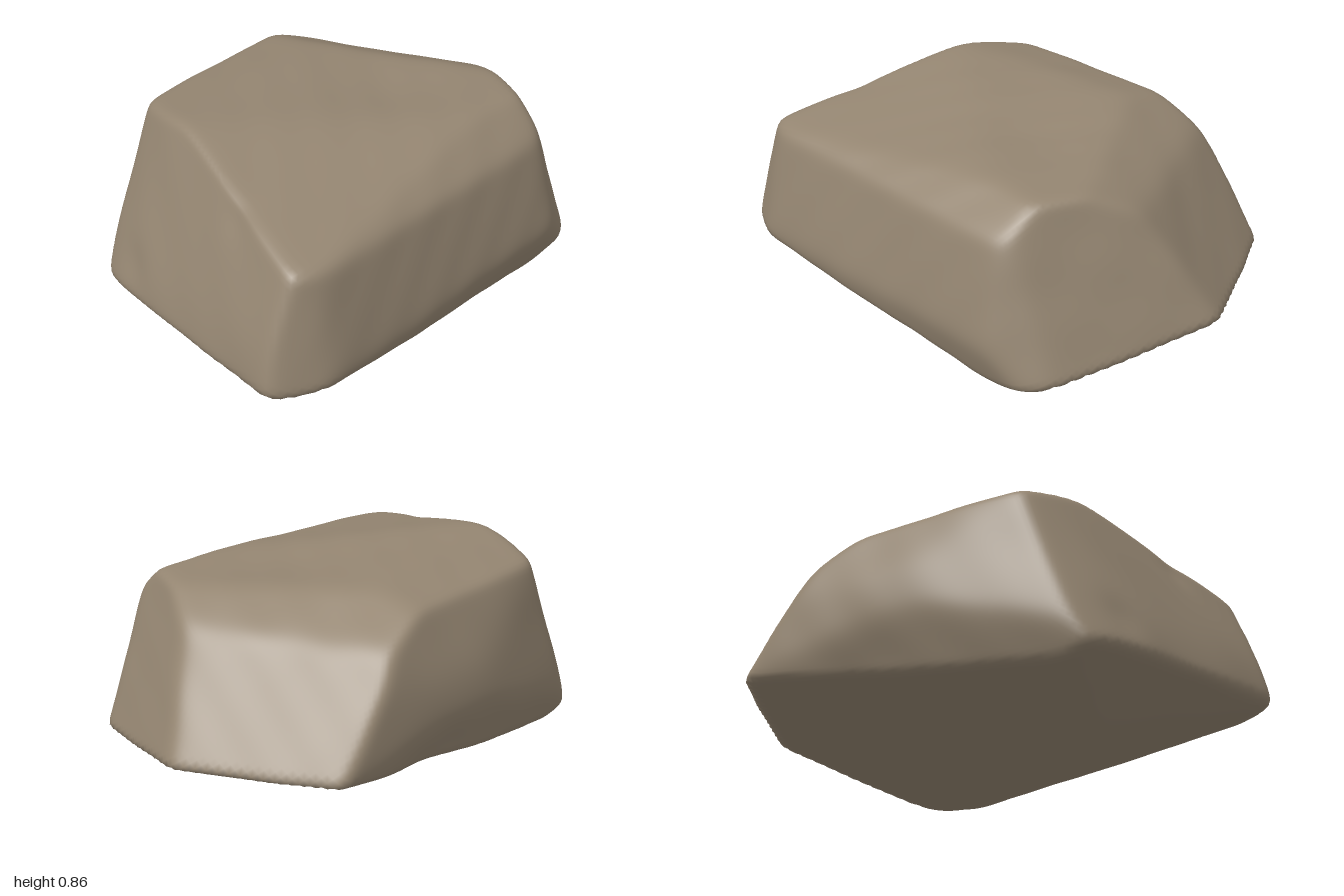
import * as THREE from 'three';
import { mergeVertices } from 'three/addons/utils/BufferGeometryUtils.js';

const V = (a) => new THREE.Vector3(...a);
const CENTRE = V([0, 0.42, 0]);

// Each facet of the boulder is a plane: its outward normal divided by its distance from CENTRE
const TOP = [[0.076, 2.446, -0.131], [0.436, 2.271, 0.197], [-0.436, 1.988, -0.034]];
// upper, lower, and the two corners
const FRONT = [
  [-0.336, 0.501, 1.193], [-0.259, 0.151, 1.139], [-0.629, 0.416, 1.0], [0.857, 0.196, 0.605],
];
// main face, then lower and upper bevels
const LEFT = [[1.512, 0.308, 0.103], [1.313, -0.473, 0.078], [1.082, 1.376, 0.056]];
const RIGHT = [
  [-1.382, 0.086, -0.121], [-1.37, 0.171, 0.205], [-1.325, -0.56, -0.024], [-1.343, 0.488, -0.035],
];
// two faces meeting in a ridge, their corner and upper bevel
const BACK = [
  [0.53, 0.42, -1.069], [-0.44, 0.821, -1.105], [1.023, 0.257, -0.588], [-0.326, 1.611, -0.803],
];
const UNDERSIDE = [
  [0.529, -2.14, 0.247], [-0.371, -2.56, -0.297], [-0.253, -2.719, -0.459], [0.015, -1.57, 0.656],
];
const FACETS = [...TOP, ...FRONT, ...LEFT, ...RIGHT, ...BACK, ...UNDERSIDE].map(V);

// Shallow hollows: position, radius, depth
const HOLLOWS = [
  [[0.1, 0.8, -0.28], 0.25, 0.02],
  [[0.15, 0.7, 0.72], 0.08, 0.012],
  [[-0.42, 0.24, 0.76], 0.1, 0.015],
  [[-0.63, 0.17, -0.25], 0.2, 0.02],
].map(([p, r, d]) => [V(p), r, d]);

// Distance to the softly rounded meeting of all facets
function surfaceRadius(dir) {
  const sharpness = 46;
  let sum = 0;
  for (const f of FACETS) sum += Math.pow(Math.max(0, f.dot(dir)), sharpness);
  return Math.pow(sum, -1 / sharpness);
}

// Gentle weathering
function weathering(p) {
  let d = 0.003 * Math.sin(9 * p.x + 4 * p.y + 1) * Math.sin(8 * p.z - 5 * p.y)
    + 0.0015 * Math.sin(19 * p.x - 11 * p.z) * Math.sin(17 * p.y + 13 * p.z + 2);
  for (const [c, r, depth] of HOLLOWS) d -= depth * Math.exp(-p.distanceToSquared(c) / (r * r));
  return d;
}

function boulderGeometry() {
  let geometry = new THREE.IcosahedronGeometry(1, 48);
  geometry.deleteAttribute('uv');
  geometry.deleteAttribute('normal');
  geometry = mergeVertices(geometry, 1e-5);
  const pos = geometry.attributes.position;
  const dir = new THREE.Vector3();
  const p = new THREE.Vector3();
  for (let i = 0; i < pos.count; i++) {
    dir.fromBufferAttribute(pos, i).normalize();
    p.copy(dir).multiplyScalar(surfaceRadius(dir)).add(CENTRE);
    p.addScaledVector(dir, weathering(p));
    pos.setXYZ(i, p.x, p.y, p.z);
  }
  geometry.computeVertexNormals();
  return geometry;
}

export function createModel() {
  const stone = new THREE.MeshStandardMaterial({ color: 0x948571 });
  stone.name = 'brown stone';
  const boulder = new THREE.Mesh(boulderGeometry(), stone);
  boulder.name = 'boulder';
  const group = new THREE.Group();
  group.name = 'rock';
  group.add(boulder);
  return group;
}
